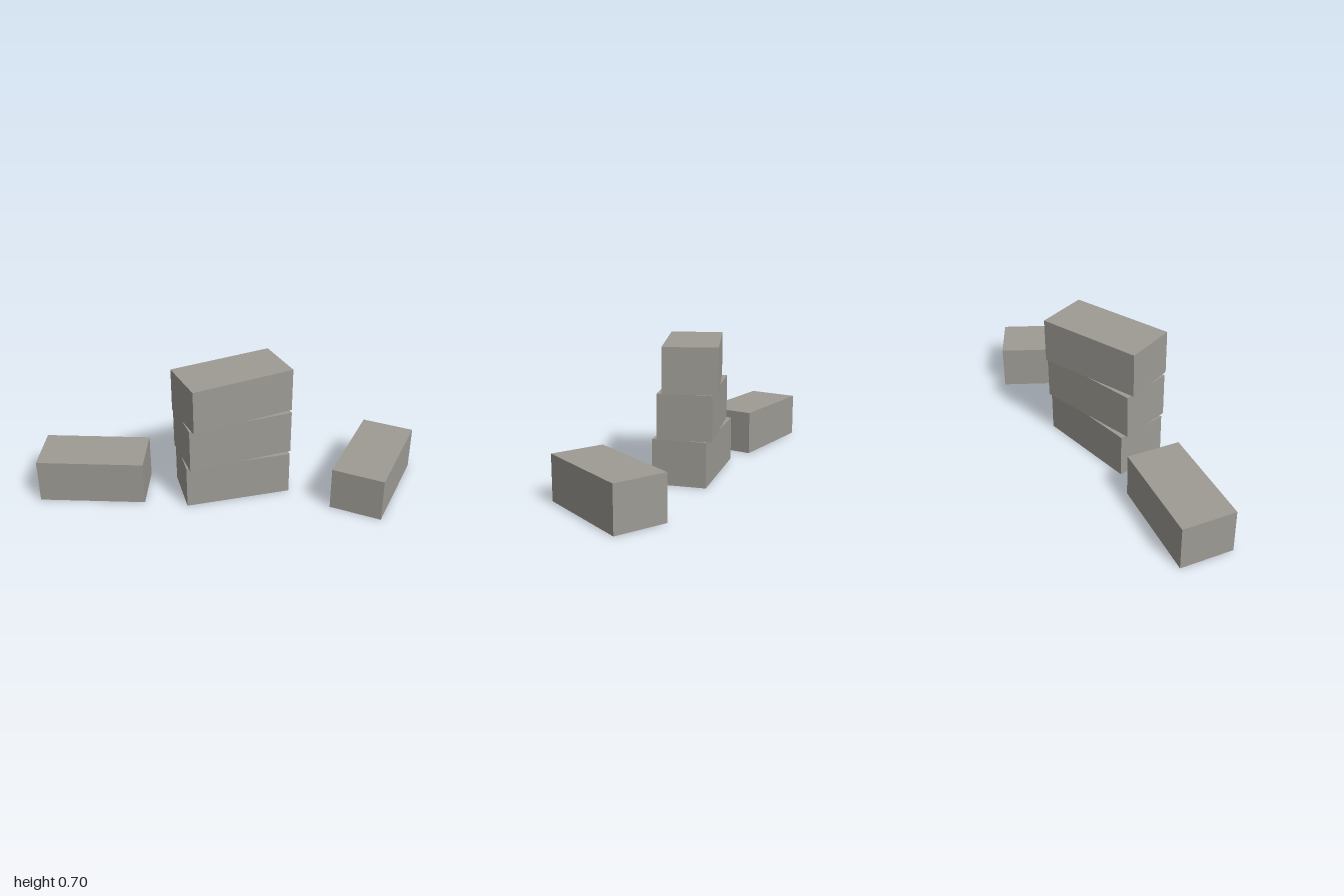
import * as THREE from 'three';

export function createModel() {
  const group = new THREE.Group();
  const stone = new THREE.MeshStandardMaterial({ color: 0x9d9b94 });
  stone.name = 'stone grey';

  const H = 0.2333;
  const block = new THREE.BoxGeometry(0.557, H, 0.277);

  // name, x, z, level in the stack, turn about y
  const blocks = [
    ['stackBottomBlock', 0.005, -0.053, 0, -0.1],
    ['stackMiddleBlock', 0.005, -0.053, 1, 0],
    ['stackTopBlock', 0.005, -0.053, 2, 0.1],
    ['looseBlockRight', -0.69, -0.288, 0, -0.4],
    ['looseBlockLeft', 0.706, 0.225, 0, 0.795],
  ];
  for (const [name, x, z, level, turn] of blocks) {
    const mesh = new THREE.Mesh(block, stone);
    mesh.name = name;
    mesh.position.set(x, H * (level + 0.5), z);
    mesh.rotation.y = turn;
    group.add(mesh);
  }
  return group;
}
